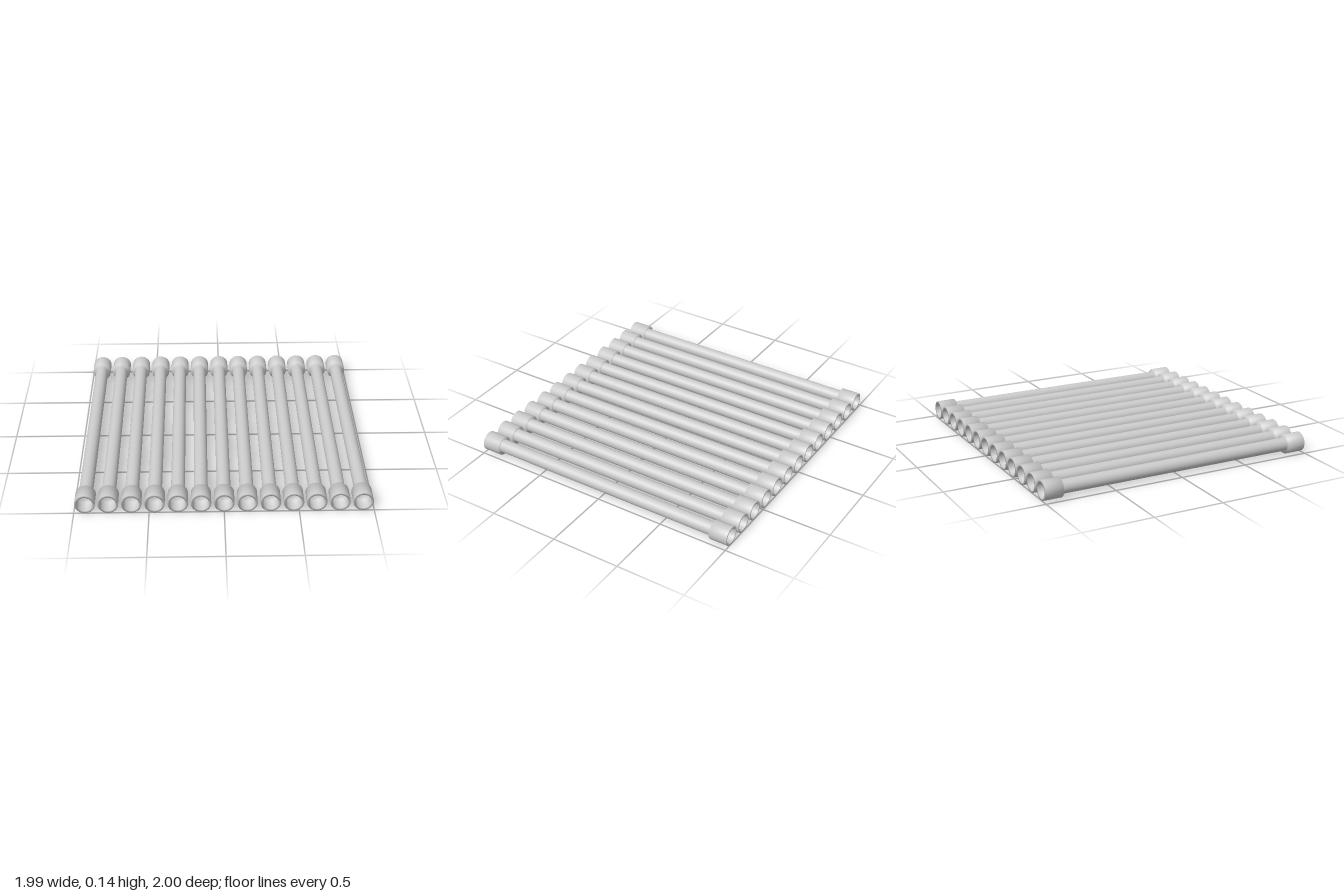
import * as THREE from 'three';

const COUNT = 13;
const SPAN = 0.926;       // x of the outermost pipe
const COLLAR_R = 0.068;
const BORE_R = 0.053;
const PIPE_R = 0.047;
const SIDES = 32;

// Solid of revolution along z from [radius, z] pairs, shaded smoothly
function turned(profile) {
  const points = profile.map(([r, z]) => new THREE.Vector2(r, z));
  return new THREE.LatheGeometry(points, SIDES).rotateX(Math.PI / 2);
}

export function createModel() {
  const model = new THREE.Group();
  model.name = 'pipeRow';
  const material = new THREE.MeshStandardMaterial({ color: 0xcccccc });

  // Long pipe, its closed ends hidden in the collars
  const pipeGeometry = turned([[0, -0.89], [PIPE_R, -0.89], [PIPE_R, 0.89], [0, 0.89]]);

  // Wider end collar with an open bore facing outward
  const collarGeometry = turned([
    [0, 0.87], [COLLAR_R, 0.87], [COLLAR_R, 1],
    [BORE_R, 1], [BORE_R, 0.9], [0, 0.9],
  ]);

  for (let i = 0; i < COUNT; i++) {
    const unit = new THREE.Group();
    unit.name = `pipeUnit${i + 1}`;
    unit.position.set(-SPAN + (2 * SPAN * i) / (COUNT - 1), COLLAR_R, 0);

    const pipe = new THREE.Mesh(pipeGeometry, material);
    pipe.name = 'pipe';
    const frontCollar = new THREE.Mesh(collarGeometry, material);
    frontCollar.name = 'frontCollar';
    const backCollar = new THREE.Mesh(collarGeometry, material);
    backCollar.name = 'backCollar';
    backCollar.rotation.y = Math.PI;

    unit.add(pipe, frontCollar, backCollar);
    model.add(unit);
  }
  return model;
}
